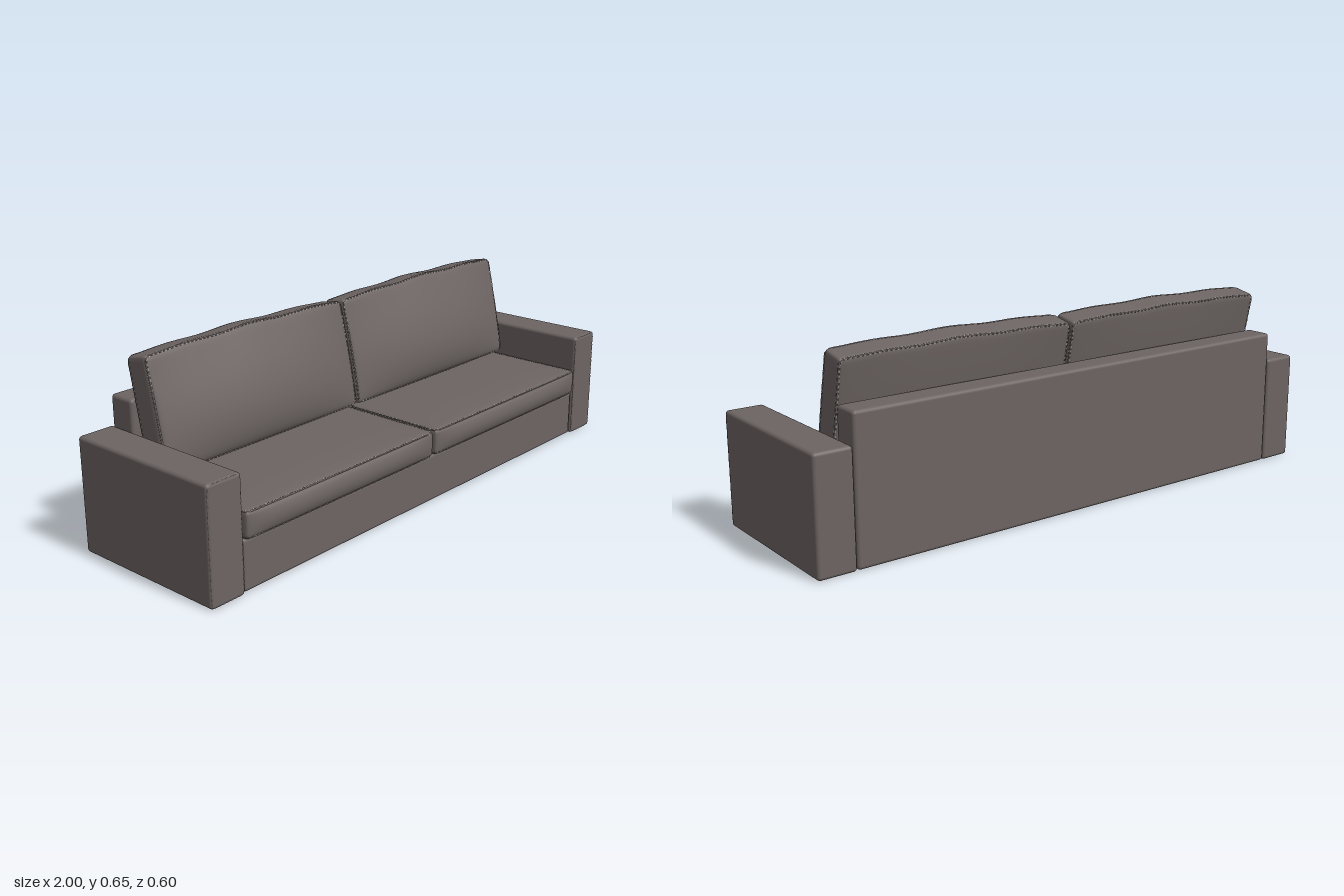
import * as THREE from 'three';
import { mergeVertices, mergeGeometries } from 'three/addons/utils/BufferGeometryUtils.js';
import { RoundedBoxGeometry } from 'three/addons/geometries/RoundedBoxGeometry.js';

const leather = new THREE.MeshStandardMaterial({ color: 0x6c6462 });
leather.name = 'warm grey leather';
const thread = new THREE.MeshStandardMaterial({ color: 0xb8b2ae });
thread.name = 'pale stitching thread';

const EDGE = 0.014;
const flat = (p) => p;

function named(name, geometry, material = leather) {
  const mesh = new THREE.Mesh(geometry, material);
  mesh.name = name;
  return mesh;
}

// Frame block given by its limits
function block(name, x0, x1, y0, y1, z0, z1) {
  const mesh = named(name, new RoundedBoxGeometry(x1 - x0, y1 - y0, z1 - z0, 4, 0.012));
  mesh.position.set((x0 + x1) / 2, (y0 + y1) / 2, (z0 + z1) / 2);
  return mesh;
}

// Soft box: dense rounded edges, then puffed by a deform rule
function softBox(half, deform) {
  const geo = new THREE.BoxGeometry(2, 2, 2, 36, 20, 20);
  geo.deleteAttribute('uv');
  geo.deleteAttribute('normal');
  const pos = geo.attributes.position;
  const p = new THREE.Vector3(), core = new THREE.Vector3();
  const limit = half.clone().subScalar(EDGE);
  for (let i = 0; i < pos.count; i++) {
    p.fromBufferAttribute(pos, i);
    p.set(...p.toArray().map((v) => Math.sin(v * Math.PI / 2))).multiply(half);
    core.copy(p).clamp(limit.clone().negate(), limit);
    p.sub(core).setLength(EDGE).add(core);
    deform(p, half);
    pos.setXYZ(i, p.x, p.y, p.z);
  }
  const smooth = mergeVertices(geo, 1e-5);
  smooth.computeVertexNormals();
  return smooth;
}

// Closed seam around the edge of one face, following the same deform rule
function seamCurve(half, axis, side, deform) {
  const inset = EDGE * 0.29;
  const a = half.x - inset;
  const b = (axis === 'y' ? half.z : half.y) - inset;
  const c = side * (half[axis] - inset);
  const r = EDGE * 0.8;
  const s = new THREE.Shape();
  s.absarc(a - r, b - r, r, 0, Math.PI / 2);
  s.absarc(-a + r, b - r, r, Math.PI / 2, Math.PI);
  s.absarc(-a + r, -b + r, r, Math.PI, Math.PI * 1.5);
  s.absarc(a - r, -b + r, r, Math.PI * 1.5, Math.PI * 2);
  s.closePath();
  const pts = s.getSpacedPoints(120).slice(0, -1).map(({ x, y }) =>
    deform(axis === 'y' ? new THREE.Vector3(x, c, y) : new THREE.Vector3(x, y, c), half));
  return new THREE.CatmullRomCurve3(pts, true);
}

// Piping cord with a row of short stitches over it
function addSeam(group, curve) {
  group.add(named('piping', new THREE.TubeGeometry(curve, 160, 0.003, 6, true)));
  const length = curve.getLength();
  const pts = curve.getSpacedPoints(Math.round(length / 0.016));
  const dashes = [];
  const aim = new THREE.Object3D();
  for (let i = 0; i < pts.length - 1; i++) {
    aim.position.copy(pts[i]).lerp(pts[i + 1], 0.5);
    aim.lookAt(pts[i + 1]);
    aim.updateMatrix();
    dashes.push(new THREE.BoxGeometry(0.005, 0.005, 0.008).applyMatrix4(aim.matrix));
  }
  group.add(named('stitches', mergeGeometries(dashes), thread));
}

// Seat: slightly crowned top and a rounded front
function puffSeat(p, half) {
  const u = p.x / half.x, v = p.y / half.y, w = p.z / half.z;
  p.y += 0.008 * Math.max(0, v) * Math.max(0, 1 - u ** 4) * Math.max(0, 1 - w ** 4);
  p.z += 0.016 * Math.max(0, w) * Math.max(0, 1 - v * v) * Math.max(0, 1 - u ** 6);
  return p;
}

// Back pillow: belly low on the front, gently wavy top
function puffBack(p, half) {
  const u = p.x / half.x, v = p.y / half.y, w = p.z / half.z;
  const t = THREE.MathUtils.clamp((v + 1) / 2, 0, 1);
  const across = Math.max(0, 1 - u * u);
  if (w > 0) p.z += 0.05 * w * Math.sin(Math.PI * t ** 0.7) * Math.sqrt(across) * (0.75 + 0.25 * across);
  else p.z += 0.01 * w * Math.sin(Math.PI * t) * across;
  p.y += Math.max(0, v) * across * (0.011 + 0.003 * Math.cos(u * 9));
  return p;
}

function cushion(name, half, deform, axis) {
  const group = new THREE.Group();
  group.name = name;
  group.add(named('padding', softBox(half, deform)));
  for (const side of [-1, 1]) addSeam(group, seamCurve(half, axis, side, deform));
  return group;
}

export function createModel() {
  const sofa = new THREE.Group();
  sofa.name = 'sofa';

  // Frame
  sofa.add(block('base', -0.868, 0.868, 0.002, 0.172, -0.29, 0.272));
  sofa.add(block('backrest', -0.868, 0.868, 0.002, 0.486, -0.298, -0.2));

  for (const side of [-1, 1]) {
    const label = side > 0 ? 'left' : 'right';

    // Arm with a stitched front panel
    const arm = new THREE.Group();
    arm.name = label + 'Arm';
    const body = block('armBody', 0.869, 1, 0.001, 0.386, -0.298, 0.279);
    const size = new THREE.Vector3(0.0655, 0.1925, 0.2885);
    arm.position.copy(body.position);
    arm.position.x *= side;
    body.position.set(0, 0, 0);
    arm.add(body);
    addSeam(arm, seamCurve(size.subScalar(0.001), 'z', 1, flat));
    sofa.add(arm);

    // Loose cushions
    const seat = cushion(label + 'SeatCushion', new THREE.Vector3(0.428, 0.045, 0.242), puffSeat, 'y');
    seat.position.set(side * 0.433, 0.216, 0.042);
    sofa.add(seat);

    const pillow = cushion(label + 'BackCushion', new THREE.Vector3(0.428, 0.185, 0.045), puffBack, 'z');
    pillow.position.set(side * 0.433, 0.448, -0.138);
    pillow.rotation.x = -0.2;
    sofa.add(pillow);
  }
  return sofa;
}
